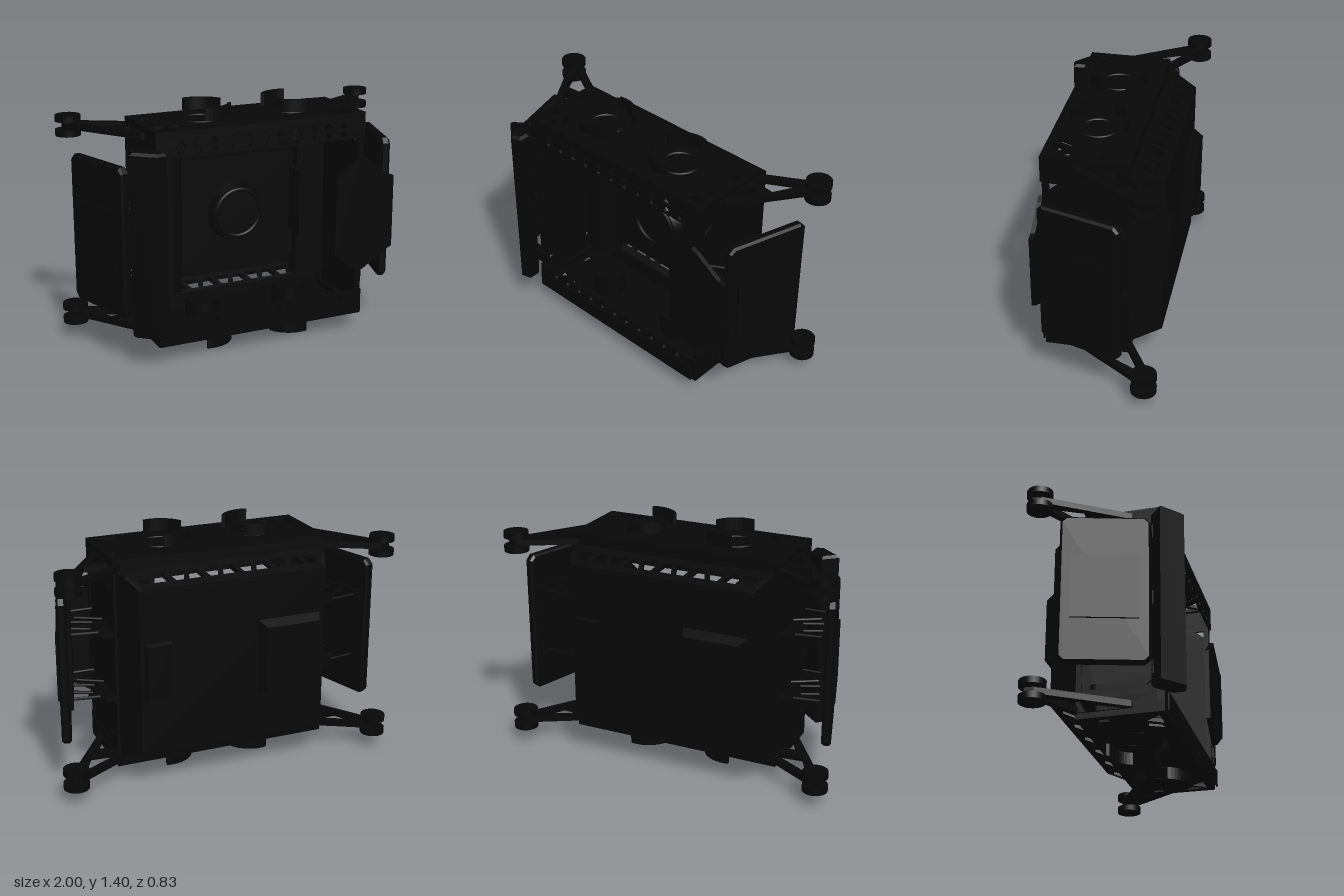
import * as THREE from 'three';

const mat = new THREE.MeshStandardMaterial({ color: 0x070707, side: THREE.DoubleSide });
const V = (x, y, z) => new THREE.Vector3(x, y, z);

function add(parent, name, geo, x = 0, y = 0, z = 0) {
  const m = new THREE.Mesh(geo, mat);
  m.name = name;
  m.position.set(x, y, z);
  parent.add(m);
  return m;
}
const box = (p, n, w, h, d, x, y, z) => add(p, n, new THREE.BoxGeometry(w, h, d), x, y, z);

// Round bar between two points
function bar(p, n, a, b, r = 0.009, sides = 8) {
  const m = add(p, n, new THREE.CylinderGeometry(r, r, a.distanceTo(b), sides));
  m.position.copy(a).lerp(b, 0.5);
  m.quaternion.setFromUnitVectors(V(0, 1, 0), b.clone().sub(a).normalize());
}

// Extruded outline with polygon or circle [x, y, r] holes
function sheet(pts, holes, depth, bevel = 0) {
  const s = new THREE.Shape(pts.map(q => new THREE.Vector2(...q)));
  for (const h of holes) {
    const path = new THREE.Path();
    if (typeof h[0] === 'number') path.absarc(h[0], h[1], h[2], 0, Math.PI * 2, true);
    else path.setFromPoints(h.map(q => new THREE.Vector2(...q))).closePath();
    s.holes.push(path);
  }
  return new THREE.ExtrudeGeometry(s, {
    depth, bevelEnabled: bevel > 0, bevelSize: bevel, bevelThickness: bevel, bevelOffset: -bevel, bevelSegments: 1, curveSegments: 20,
  });
}
// Same in plan: points are [x, z], the depth goes down from the position
const flat = (pts, holes, depth, bevel) => sheet(pts, holes, depth, bevel).rotateX(Math.PI / 2);
const rect = (x0, y0, x1, y1) => [[x0, y0], [x1, y0], [x1, y1], [x0, y1]];
const chamfered = (w, h, c) => [[-w + c, -h], [w - c, -h], [w, -h + c], [w, h - c], [w - c, h], [-w + c, h], [-w, h - c], [-w, -h + c]];
const side = (s, pts) => pts.map(([x, z]) => [s * x, z]);

// Move every vertex of a geometry by a rule
function shape(g, rule) {
  const p = g.attributes.position;
  for (let i = 0; i < p.count; i++) {
    const v = V(0, 0, 0).fromBufferAttribute(p, i);
    rule(v);
    p.setXYZ(i, v.x, v.y, v.z);
  }
  g.computeVertexNormals();
  return g;
}
// Box whose -z face is smaller
const pad = (w, h, d, inset) => shape(new THREE.BoxGeometry(w, h, d).toNonIndexed(), v => {
  if (v.z < 0) { v.x -= Math.sign(v.x) * inset; v.y -= Math.sign(v.y) * inset; }
});

// Upper half of the chassis; turned over it is also the lower half
function deck() {
  const g = new THREE.Group();
  g.name = 'deck';
  const holes = [];
  for (const s of [-1, 1]) {
    holes.push(side(s, [[0.48, 0.25], [0.59, 0.25], [0.53, 0.17]]),
      side(s, [[0.6, 0.23], [0.6, 0.13], [0.55, 0.15]]),
      side(s, [[0.42, 0.24], [0.46, 0.23], [0.5, 0.15], [0.46, 0.16]]),
      rect(s * 0.57, -0.08, s * 0.6, -0.02));
  }
  add(g, 'deckPlate', flat(rect(-0.64, -0.19, 0.64, 0.29), holes, 0.02), 0, 1.31);

  // Flanges with rows of lightening holes
  const row = [];
  for (let i = -5; i <= 5; i++) {
    row.push([i * 0.1, 1.19, 0.018]);
    row.push([[i * 0.1 - 0.03, 1.225], [i * 0.1 + 0.03, 1.225], [i * 0.1, 1.265]]);
  }
  add(g, 'frontFlange', sheet(rect(-0.64, 1.16, 0.64, 1.3), row, 0.015), 0, 0, 0.275);
  box(g, 'rearFlange', 1.26, 0.1, 0.015, 0, 1.25, -0.182);

  for (const s of [-1, 1]) {
    box(g, 'endFlange', 0.015, 0.11, 0.46, s * 0.632, 1.25, 0.05);
    // Drive hub set in the deck
    add(g, 'driveHub', new THREE.CylinderGeometry(0.1, 0.1, 0.145, 32), s * 0.28, 1.222, 0.05);
    const rim = add(g, 'hubRim', new THREE.TorusGeometry(0.1, 0.01, 8, 32), s * 0.28, 1.306, 0.05);
    rim.rotation.x = Math.PI / 2;
    // Curved guards at the front and rear inner sides of each hub
    for (const t of [-1, 1]) {
      const outer = [], inner = [];
      for (let i = 0; i <= 12; i++) {
        const a = 0.42 + i * 0.116, c = -s * Math.cos(a), d = t * Math.sin(a);
        outer.push([0.17 * c, 0.17 * d]);
        inner.unshift([0.15 * c, 0.15 * d]);
      }
      add(g, 'hubGuard', flat([...outer, ...inner], [], 0.07), s * 0.28, 1.4, 0.05);
    }
    // Bumper rollers on an A-frame arm
    for (const y of [1.219, 1.301]) add(g, 'bumperRoller', new THREE.CylinderGeometry(0.072, 0.072, 0.035, 28), s * 0.928, y, -0.325);
    add(g, 'rollerAxle', new THREE.CylinderGeometry(0.015, 0.015, 0.1, 12), s * 0.928, 1.26, -0.325);
    const arm = side(s, [[0.955, -0.36], [0.905, -0.365], [0.6, -0.19], [0.6, 0.12], [0.66, 0.12], [0.95, -0.31]]);
    const gaps = [side(s, [[0.875, -0.3], [0.65, -0.175], [0.65, -0.13], [0.78, -0.12]]), side(s, [[0.65, -0.07], [0.73, -0.065], [0.65, 0.07]])];
    add(g, 'rollerArm', flat(arm, gaps, 0.035), 0, 1.277);
  }

  // Sloping truss rim joining the deck to the back panel
  const openings = [];
  for (let i = -5; i <= 5; i++) {
    const x = i * 0.1, a = i % 2 ? 0.048 : 0.022, b = 0.07 - a;
    openings.push([[x - a, -0.24], [x + a, -0.24], [x + b, -0.31], [x - b, -0.31]]);
  }
  const rimPlate = flat([[-0.62, -0.18], [0.62, -0.18], [0.55, -0.36], [-0.55, -0.36]], openings, 0.025);
  add(g, 'trussRim', shape(rimPlate, v => { v.y += (v.z + 0.2) * 0.375; }), 0, 1.24);
  return g;
}

export function createModel() {
  const root = new THREE.Group();
  root.name = 'mobileChassis';

  // Upper and lower decks
  root.add(deck());
  const lower = deck();
  lower.rotation.z = Math.PI;
  lower.position.y = 1.4;
  root.add(lower);
  box(root, 'lowerFrontStrip', 1.24, 0.1, 0.008, 0, 0.15, 0.306);

  // Back panel with battery cover and handle
  const back = new THREE.Group();
  back.name = 'backPanel';
  root.add(back);
  box(back, 'backSkin', 1.1, 0.95, 0.02, 0, 0.705, -0.35);
  add(back, 'batteryCover', pad(0.38, 0.43, 0.06, 0.03), -0.335, 0.705, -0.39);
  add(back, 'backHandle', pad(0.16, 0.34, 0.025, 0.01), 0.45, 0.705, -0.37);

  // Core module inside the frame
  const core = new THREE.Group();
  core.name = 'coreModule';
  root.add(core);
  box(core, 'coreBlock', 0.72, 0.66, 0.1, 0.02, 0.7, -0.15);
  add(core, 'coreDisc', new THREE.CylinderGeometry(0.16, 0.18, 0.06, 40).rotateX(Math.PI / 2), 0, 0.7, -0.08);
  add(core, 'coreRing', new THREE.TorusGeometry(0.14, 0.012, 8, 40), 0, 0.7, -0.05);
  box(core, 'sideUnit', 0.07, 0.4, 0.2, 0.39, 0.73, -0.06);
  box(core, 'endUnit', 0.18, 0.94, 0.1, 0.5, 0.7, -0.15);
  add(core, 'sideDrum', new THREE.CylinderGeometry(0.1, 0.1, 0.86, 24), -0.45, 0.7, -0.1);

  const slots = [[[0.25, 0.25], [0.25, 0.3], [0.19, 0.25]], [[0.25, 1.15], [0.25, 1.1], [0.19, 1.15]], rect(-0.11, 1.12, -0.08, 1.15), rect(-0.11, 0.25, -0.08, 0.28)];

  for (const s of [-1, 1]) {
    // End plates, corner posts and slanted back walls
    const end = sheet(rect(-0.19, 0.2, 0.27, 1.2), slots, 0.015).rotateY(-Math.PI / 2);
    add(root, 'endPlate', end, s > 0 ? 0.635 : -0.62);
    for (const z of [-0.175, 0.265]) box(root, 'cornerPost', 0.04, 1.1, 0.03, s * 0.62, 0.7, z);
    const wall = sheet([[-0.19, 0.16], [-0.25, 0.185], [-0.36, 0.235], [-0.36, 1.18], [-0.25, 1.23], [-0.19, 1.24]], [], 0.02).rotateY(-Math.PI / 2);
    // The back walls lean inward toward the rear
    add(root, 'backWall', shape(wall, v => { v.x += s * (v.z + 0.2) * 0.42; }), s > 0 ? 0.62 : -0.6);

    // Side bumper panel with inner backing
    const panel = new THREE.Group();
    panel.name = 'sidePanel';
    panel.position.set(s * 0.87, 0.705, 0.03);
    panel.rotation.y = s * 1.282;
    root.add(panel);
    add(panel, 'panelSkin', sheet(chamfered(0.24, 0.425, 0.03), [], 0.03, 0.012), 0, 0, -0.015);
    box(panel, 'panelPad', 0.36, 0.36, 0.014, 0, 0, 0.032);
    box(panel, 'panelBacking', 0.4, 0.46, 0.025, 0, 0, -0.035);

    // Brackets and struts carrying the side panel
    for (const y of [0.52, 0.9]) {
      const bracket = side(s, [[0.62, -0.19], [0.7, -0.18], [0.77, -0.09], [0.7, 0.03], [0.62, 0.06]]);
      add(root, 'sideBracket', flat(bracket, [], 0.025), 0, y);
      for (const [x0, z0, x1, z1] of [[0.72, -0.15, 0.9, -0.12], [0.74, -0.08, 0.87, -0.02], [0.7, 0.02, 0.84, 0.08],
        [0.63, 0.05, 0.82, 0.16], [0.63, 0.22, 0.83, 0.1], [0.63, 0.24, 0.8, 0.24]])
        bar(root, 'sideStrut', V(s * x0, y, z0), V(s * x1, y, z1));
    }
  }

  // Tapered mount plate at the front, reaching out to the side panel
  add(root, 'frontMountPlate', sheet([[0.45, 0.48], [0.6, 0.36], [0.64, 0.375], [0.79, 0.47], [0.83, 0.49], [0.83, 0.92], [0.79, 0.93], [0.64, 1.03], [0.6, 1.05], [0.45, 0.93]], [], 0.025), 0, 0, 0.285);

  // Tall sensor bar at the other front corner
  const barOutline = [[-0.8, 0.31], [-0.72, 0.24], [-0.62, 0.33], [-0.62, 0.4], [-0.68, 0.415]];
  add(root, 'sensorBar', flat(barOutline, [], 1.01, 0.015), 0, 1.21);
  for (const y of [0.3, 0.7, 1.1]) box(root, 'sensorBarMount', 0.14, 0.08, 0.04, -0.67, y, 0.27);

  return root;
}
